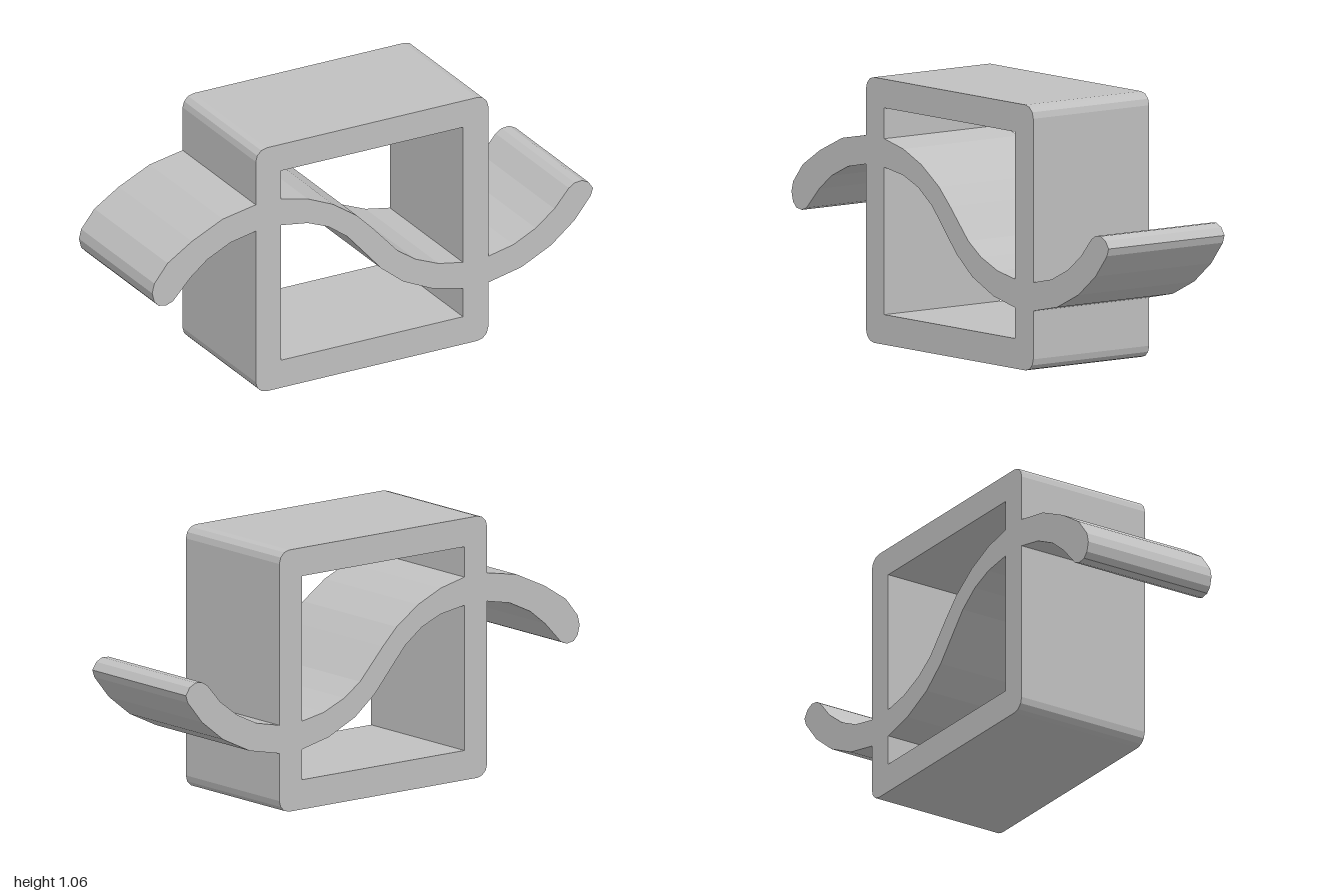
import * as THREE from 'three';

const DEPTH = 0.587;

// Outer corners of the square frame and its inner opening
const L = -0.53, R = 0.525, TOP = 1.06;
const IL = -0.415, IR = 0.41, IB = 0.12, IT = 0.945;

// Wave ribbon edges, each split where it meets the frame walls
const upper = {
  left: [[-0.99, 0.585], [-0.93, 0.66], [-0.82, 0.73], [-0.68, 0.795], [L, 0.823]],
  middle: [[IL, 0.822], [-0.295, 0.795], [-0.18, 0.745], [-0.07, 0.67], [0, 0.6],
    [0.115, 0.475], [0.195, 0.42], [0.3, 0.377], [IR, 0.357]],
  right: [[R, 0.357], [0.64, 0.382], [0.74, 0.43], [0.825, 0.495], [0.89, 0.57]],
};
const lower = {
  left: [[L, 0.708], [-0.645, 0.685], [-0.75, 0.635], [-0.825, 0.575], [-0.905, 0.49]],
  middle: [[IR, 0.243], [0.275, 0.273], [0.14, 0.335], [0.04, 0.415], [-0.035, 0.5],
    [-0.115, 0.59], [-0.2, 0.652], [-0.295, 0.69], [IL, 0.708]],
  right: [[0.99, 0.515], [0.917, 0.425], [0.81, 0.34], [0.675, 0.275], [R, 0.243]],
};

// Rounded tips of the ribbon
const rightTip = [[0.917, 0.587], [0.95, 0.59], [0.98, 0.575], [1, 0.545]];
const leftTip = [[-0.935, 0.478], [-0.97, 0.484], [-0.99, 0.505], [-1, 0.545]];

// Faceted quarter-round frame corner, running clockwise from angle a
function corner(cx, cy, a, r = 0.05) {
  return [0, 1, 2, 3].map((i) => {
    const t = a - (i / 3) * Math.PI / 2;
    return [cx + r * Math.cos(t), cy + r * Math.sin(t)];
  });
}

const toVectors = (pts) => pts.map(([x, y]) => new THREE.Vector2(x, y));

export function createModel() {
  const group = new THREE.Group();
  const grey = new THREE.MeshStandardMaterial({ color: 0xc0c0c0 });
  grey.name = 'light grey';

  // Silhouette: clockwise round the frame and both ribbon ends
  const r = 0.05;
  const shape = new THREE.Shape(toVectors([
    ...upper.left,
    ...corner(L + r, TOP - r, Math.PI),
    ...corner(R - r, TOP - r, Math.PI / 2),
    ...upper.right, ...rightTip, ...lower.right,
    ...corner(R - r, r, 0),
    ...corner(L + r, r, -Math.PI / 2),
    ...lower.left, ...leftTip,
  ]));

  // Openings above and below the ribbon
  shape.holes.push(new THREE.Path(toVectors([...upper.middle, [IR, IT], [IL, IT]])));
  shape.holes.push(new THREE.Path(toVectors([...lower.middle, [IL, IB], [IR, IB]])));

  const geometry = new THREE.ExtrudeGeometry(shape, { depth: DEPTH, bevelEnabled: false });
  geometry.translate(0, 0, -DEPTH / 2);
  const mesh = new THREE.Mesh(geometry, grey);
  mesh.name = 'squareFrameWithWaveRibbon';
  group.add(mesh);
  return group;
}
